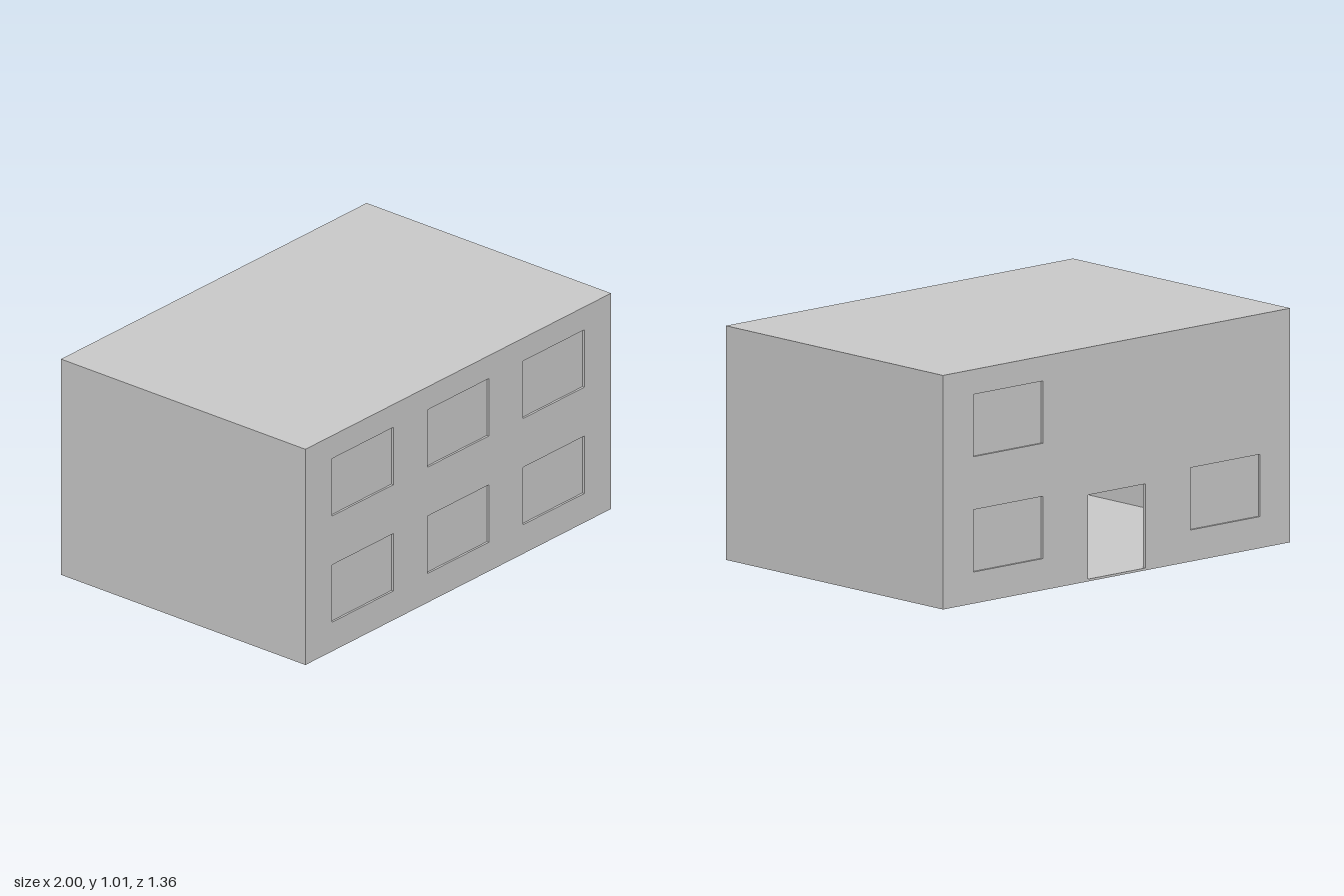
import * as THREE from 'three';

const W = 2, D = 1.36, T = 0.015;          // footprint and wall thickness
const FLOOR = 0.01, CEIL = 1.0, TOP = 1.015;
const WIN_W = 0.4, WIN_H = 0.27, RECESS = 0.01;
const material = new THREE.MeshStandardMaterial({ color: 0xcccccc, flatShading: true });

function rectPath(x0, y0, x1, y1, Type = THREE.Path) {
  return new Type([[x0, y0], [x1, y0], [x1, y1], [x0, y1]].map(p => new THREE.Vector2(...p)));
}

function add(parent, name, geometry, x = 0, y = 0, z = 0) {
  const mesh = new THREE.Mesh(geometry, material);
  mesh.name = name;
  mesh.position.set(x, y, z);
  parent.add(mesh);
  return mesh;
}

const extrude = (shape, depth) => new THREE.ExtrudeGeometry(shape, { depth, bevelEnabled: false });

// Long wall facing +z: windows are [centre x, sill y], the door is a notch at the foot
function longWall(name, windows, door) {
  const wall = new THREE.Group();
  wall.name = name;
  const outline = [[-W / 2, FLOOR]];
  if (door) {
    const { halfWidth: h, top } = door;
    outline.push([-h, FLOOR], [-h, top], [h, top], [h, FLOOR]);
  }
  outline.push([W / 2, FLOOR], [W / 2, CEIL], [-W / 2, CEIL]);
  const shape = new THREE.Shape(outline.map(p => new THREE.Vector2(...p)));
  for (const [x, y] of windows) {
    shape.holes.push(rectPath(x - WIN_W / 2, y, x + WIN_W / 2, y + WIN_H));
    // Pane set back inside its opening
    add(wall, 'windowPane', new THREE.BoxGeometry(WIN_W, WIN_H, T - RECESS),
      x, y + WIN_H / 2, D / 2 - T + (T - RECESS) / 2);
  }
  add(wall, 'wallPanel', extrude(shape, T), 0, 0, D / 2 - T);
  return wall;
}

export function createModel() {
  const house = new THREE.Group();
  house.name = 'house';

  // Ground floor and flat roof
  add(house, 'groundFloor', new THREE.BoxGeometry(W, FLOOR, D), 0, FLOOR / 2, 0);
  add(house, 'roof', new THREE.BoxGeometry(W, TOP - CEIL, D), 0, (TOP + CEIL) / 2, 0);

  // Blank side walls
  for (const side of [-1, 1]) {
    add(house, side > 0 ? 'leftWall' : 'rightWall',
      new THREE.BoxGeometry(T, CEIL - FLOOR, D - 2 * T),
      side * (W / 2 - T / 2), (CEIL + FLOOR) / 2, 0);
  }

  // Front wall with two rows of three windows
  const low = 0.137, high = 0.637, col = 0.625;
  const frontWindows = [];
  for (const x of [-col, 0, col]) for (const y of [low, high]) frontWindows.push([x, y]);
  house.add(longWall('frontWall', frontWindows));

  // Back wall with three windows and an open doorway
  const back = longWall('backWall', [[-col, low], [-col, high], [col, low]],
    { halfWidth: 0.165, top: 0.375 });
  back.rotation.y = Math.PI;
  house.add(back);

  // Upper floor with a stairwell opening
  const slab = rectPath(-W / 2 + T, -D / 2 + T, W / 2 - T, D / 2 - T, THREE.Shape);
  slab.holes.push(rectPath(-0.82, -0.38, -0.34, 0.38));
  const upper = add(house, 'upperFloor', extrude(slab, T), 0, 0.515, 0);
  upper.rotation.x = Math.PI / 2;

  return house;
}
